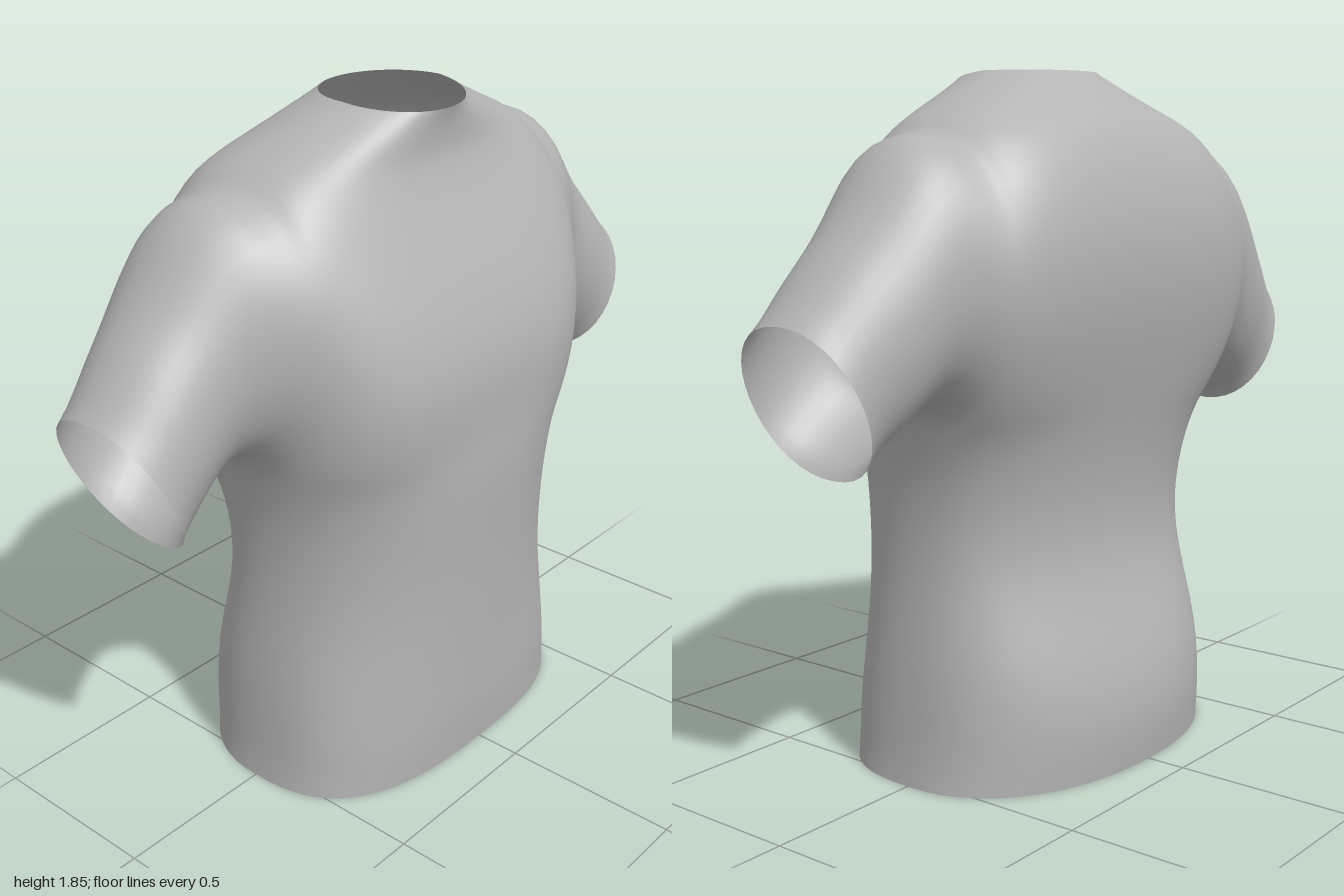
import * as THREE from 'three';
import { mergeGeometries, mergeVertices } from 'three/addons/utils/BufferGeometryUtils.js';

// Smooth interpolation through rows of [key, ...values]
function smoothTable(rows) {
  const size = rows[0].length - 1;
  const curve = new THREE.CubicInterpolant(
    rows.map(r => r[0]), rows.flatMap(r => r.slice(1)), size, new Float64Array(size));
  return t => Array.from(curve.evaluate(t));
}

// Body: height, half width, front z, back z, side z, front and back squareness
const bodyAt = smoothTable([
  [0.00, 0.55, 0.37, -0.39, -0.01, 2.8, 2.2],
  [0.05, 0.547, 0.38, -0.405, -0.01, 2.8, 2.2],
  [0.15, 0.54, 0.385, -0.41, -0.01, 2.7, 2.2],
  [0.30, 0.53, 0.385, -0.385, -0.01, 2.5, 2.3],
  [0.45, 0.513, 0.39, -0.33, 0, 2.3, 2.4],
  [0.60, 0.50, 0.395, -0.295, 0, 2.3, 2.4],
  [0.75, 0.50, 0.405, -0.30, -0.01, 2.35, 2.5],
  [0.87, 0.515, 0.415, -0.32, -0.03, 2.4, 2.6],
  [0.95, 0.54, 0.412, -0.338, -0.045, 2.5, 2.7],
  [1.08, 0.54, 0.405, -0.368, -0.045, 2.8, 2.9],
  [1.20, 0.54, 0.425, -0.397, -0.045, 3, 3],
  [1.35, 0.53, 0.375, -0.42, -0.045, 3, 3],
  [1.50, 0.52, 0.30, -0.405, -0.045, 2.9, 2.9],
  [1.60, 0.51, 0.245, -0.372, -0.045, 2.8, 2.7],
  [1.71, 0.50, 0.205, -0.305, -0.045, 2.6, 2.4],
  [1.77, 0.36, 0.207, -0.245, -0.02, 2.4, 2.2],
  [1.81, 0.275, 0.21, -0.205, 0.01, 2.1, 2.1],
  [1.85, 0.19, 0.217, -0.155, 0.03, 2, 2]
]);

// Sleeve: station, top x y, bottom x y, front z, back z
const sleeveAt = smoothTable([
  [0, 0.50, 1.71, 0.54, 0.95, 0.27, -0.36],
  [1, 0.56, 1.70, 0.575, 0.99, 0.235, -0.335],
  [2, 0.61, 1.69, 0.615, 1.002, 0.205, -0.315],
  [3, 0.69, 1.635, 0.66, 0.99, 0.166, -0.297],
  [4, 0.79, 1.495, 0.715, 0.953, 0.155, -0.28],
  [5, 0.89, 1.395, 0.77, 0.912, 0.158, -0.255],
  [6, 1.00, 1.25, 0.83, 0.867, 0.155, -0.23]
]);

const ARC = 40, HOLE = 18;

// Point on a sleeve ring: angle 0 = top, quarter turn = front
function sleevePoint(station, angle) {
  const [tx, ty, bx, by, zf, zb] = sleeveAt(station);
  const t = (1 - Math.cos(angle)) / 2, s = Math.sin(angle);
  const z = (zf + zb) / 2 + (zf - zb) / 2 * Math.sign(s) * Math.abs(s) ** 0.9;
  return [tx + (bx - tx) * t, ty + (by - ty) * t, z];
}

// Surface from a grid of points
function sheet(rows, flip) {
  const n = rows[0].length, index = [];
  for (let i = 0; i < rows.length - 1; i++) {
    for (let j = 0; j < n - 1; j++) {
      const a = i * n + j, b = a + 1, c = a + n, d = c + 1;
      if (flip) index.push(a, c, b, b, c, d);
      else index.push(a, b, c, b, d, c);
    }
  }
  const g = new THREE.BufferGeometry();
  g.setAttribute('position', new THREE.Float32BufferAttribute(rows.flat(2), 3));
  g.setIndex(index);
  return g;
}

// Half a body ring (front: side 1, back: side -1), ending at the side seam or armhole
function bodyArc(y, side, angle) {
  let [w, zf, zb, ze, nf, nb] = bodyAt(y);
  let open = 0;
  if (angle !== null) {
    [w, y, ze] = sleevePoint(0, side > 0 ? angle : 2 * Math.PI - angle);
    open = Math.sin(angle);
  }
  const reach = (side > 0 ? zf : zb) - ze, power = 2 / (side > 0 ? nf : nb), pts = [];
  for (let j = 0; j <= ARC; j++) {
    const a = Math.PI * j / ARC;
    const c = side * Math.cos(a), s = Math.abs(Math.sin(a));
    const round = Math.sign(c) * Math.abs(c) ** power;
    const x = w * THREE.MathUtils.lerp(round, c, open);
    const depth = THREE.MathUtils.lerp(s ** power, 1 - Math.abs(c) ** 4.5, open);
    // The neckline dips a little at the front
    const dip = side > 0 ? 0.02 * s * THREE.MathUtils.smoothstep(y, 1.77, 1.85) : 0;
    pts.push([x, y - dip, ze + reach * depth]);
  }
  return pts;
}

// Relax the welded surface towards neighbour averages, keeping the open edges fixed
function relax(geometry, rounds) {
  const pos = geometry.attributes.position, index = geometry.index.array;
  const near = Array.from({ length: pos.count }, () => new Map());
  const link = (a, b) => near[a].set(b, (near[a].get(b) || 0) + 1);
  for (let i = 0; i < index.length; i += 3) {
    for (let k = 0; k < 3; k++) {
      const a = index[i + k], b = index[i + (k + 1) % 3];
      link(a, b);
      link(b, a);
    }
  }
  const inner = near.map(m => m.size > 0 && [...m.values()].every(uses => uses > 1));
  for (let r = 0; r < rounds; r++) {
    const old = pos.array.slice();
    near.forEach((m, v) => {
      if (!inner[v]) return;
      for (let k = 0; k < 3; k++) {
        let sum = 0;
        for (const u of m.keys()) sum += old[u * 3 + k];
        pos.array[v * 3 + k] = (old[v * 3 + k] + sum / m.size) / 2;
      }
    });
  }
}

export function createModel() {
  const fabric = new THREE.MeshStandardMaterial({ color: 0xb4b4b4, side: THREE.DoubleSide });
  fabric.name = 'grey fabric';

  // Ring heights: hem to armpit, along the armhole, shoulder to neck
  const levels = [];
  for (let i = 0; i < 24; i++) levels.push([0.95 * i / 24, null]);
  for (let i = 0; i <= HOLE; i++) {
    const angle = Math.PI * (1 - i / HOLE);
    levels.push([sleevePoint(0, angle)[1], angle]);
  }
  for (let i = 1; i <= 8; i++) levels.push([1.71 + 0.14 * i / 8, null]);

  const parts = [1, -1].map(side => sheet(levels.map(([y, a]) => bodyArc(y, side, a)), true));

  // Sleeves grow from the armhole edges
  for (const mirror of [1, -1]) {
    const rings = [];
    for (let i = 0; i <= 24; i++) {
      const ring = [];
      for (let j = 0; j <= 2 * HOLE; j++) {
        const [x, y, z] = sleevePoint(i / 4, Math.PI * j / HOLE);
        ring.push([x * mirror, y, z]);
      }
      rings.push(ring);
    }
    parts.push(sheet(rings, mirror < 0));
  }

  // Weld the seams and soften the joins
  const geometry = mergeVertices(mergeGeometries(parts), 1e-4);
  relax(geometry, 10);
  geometry.computeVertexNormals();

  const shirt = new THREE.Mesh(geometry, fabric);
  shirt.name = 'shirt';
  const model = new THREE.Group();
  model.name = 'shortSleeveShirt';
  model.add(shirt);
  return model;
}
